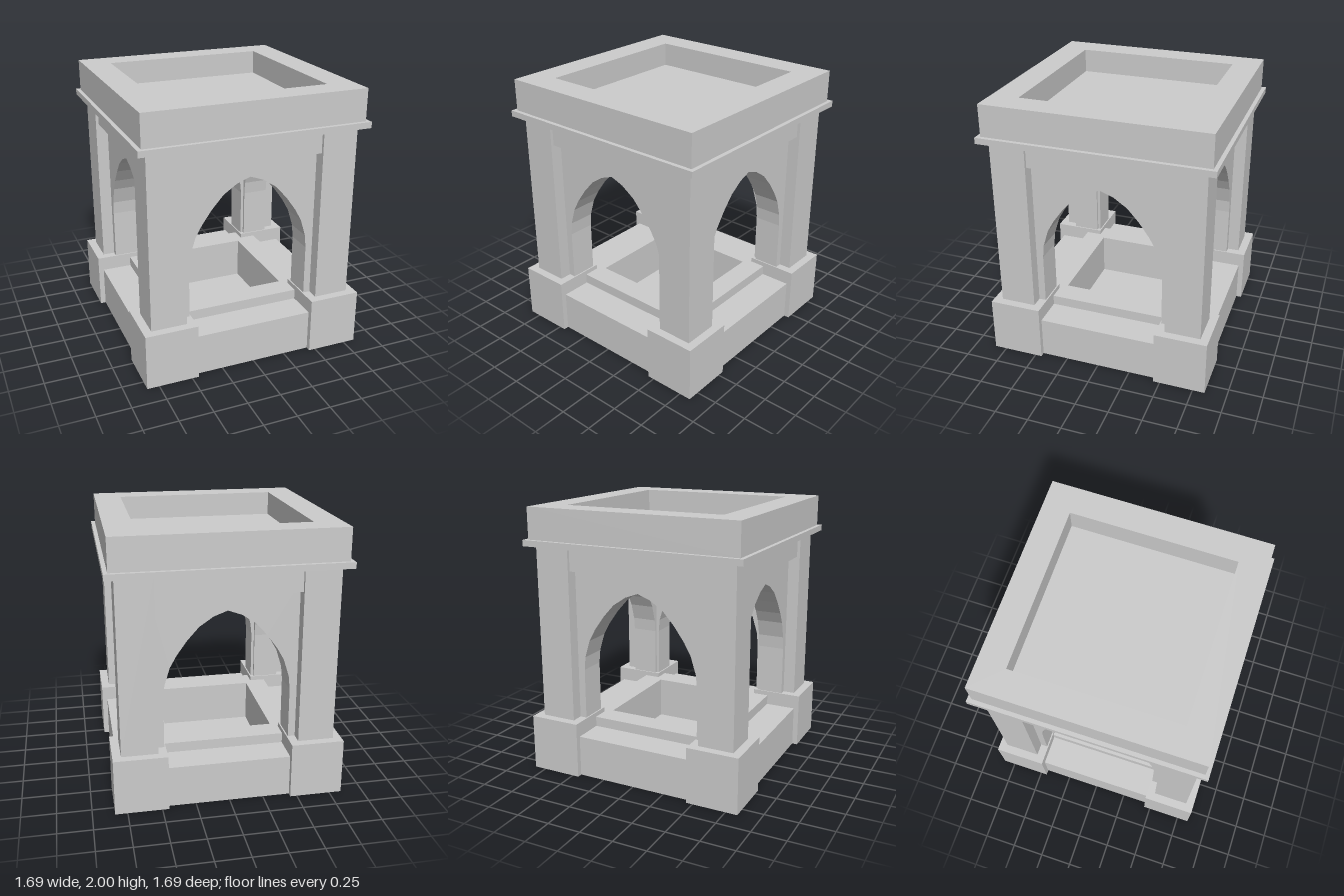
import * as THREE from 'three';

const material = new THREE.MeshStandardMaterial({ color: 0xcccccc, flatShading: true });

function add(parent, name, geometry, x = 0, y = 0, z = 0) {
  const mesh = new THREE.Mesh(geometry, material);
  mesh.name = name;
  mesh.position.set(x, y, z);
  parent.add(mesh);
  return mesh;
}

// Box given by its lower and upper limits on each axis
function box(parent, name, [x0, x1], [y0, y1], [z0, z1]) {
  return add(parent, name, new THREE.BoxGeometry(x1 - x0, y1 - y0, z1 - z0),
    (x0 + x1) / 2, (y0 + y1) / 2, (z0 + z1) / 2);
}

function squarePath(path, h) {
  path.moveTo(-h, -h);
  path.lineTo(h, -h);
  path.lineTo(h, h);
  path.lineTo(-h, h);
  path.closePath();
  return path;
}

// Square ring lying flat, from y0 to y1
function ring(parent, name, outer, inner, y0, y1) {
  const shape = squarePath(new THREE.Shape(), outer);
  shape.holes.push(squarePath(new THREE.Path(), inner));
  const geometry = new THREE.ExtrudeGeometry(shape, { depth: y1 - y0, bevelEnabled: false });
  geometry.rotateX(-Math.PI / 2);
  return add(parent, name, geometry, 0, y0, 0);
}

// Wall panel with a pointed arch cut up from its lower edge
function archPanelGeometry() {
  const half = [[0.46, 0.36], [0.46, 0.8], [0.45, 0.9], [0.41, 1.03], [0.36, 1.12],
    [0.285, 1.225], [0.2, 1.32], [0.1, 1.388]];
  const outline = [[-0.58, 0.36], [-0.46, 0.36],
    ...half.slice(1).map(([x, y]) => [-x, y]), [0, 1.425],
    ...half.slice().reverse(), [0.58, 0.36], [0.58, 1.72], [-0.58, 1.72]];
  const shape = new THREE.Shape(outline.map(([x, y]) => new THREE.Vector2(x, y)));
  return new THREE.ExtrudeGeometry(shape, { depth: 0.205, bevelEnabled: false });
}

export function createModel() {
  const model = new THREE.Group();
  model.name = 'archedPavilion';

  // Base: floor slab, plinth ring and raised inner kerb
  box(model, 'floor', [-0.79, 0.79], [0, 0.06], [-0.79, 0.79]);
  ring(model, 'plinth', 0.8, 0.4, 0, 0.31);
  ring(model, 'kerb', 0.57, 0.4, 0.31, 0.385);

  // Four corners, each a block with a square pillar
  for (const sx of [-1, 1]) {
    for (const sz of [-1, 1]) {
      const corner = new THREE.Group();
      corner.name = `${sz > 0 ? 'front' : 'back'}${sx > 0 ? 'Left' : 'Right'}Corner`;
      corner.position.set(sx * 0.645, 0, sz * 0.645);
      add(corner, 'cornerBlock', new THREE.BoxGeometry(0.39, 0.42, 0.39), 0, 0.21, 0);
      add(corner, 'pillar', new THREE.BoxGeometry(0.265, 1.3, 0.265), 0, 1.07, 0);
      model.add(corner);
    }
  }

  // Four sides, each an arched panel with a lintel beam
  const panel = archPanelGeometry();
  ['front', 'left', 'back', 'right'].forEach((label, i) => {
    const side = new THREE.Group();
    side.name = `${label}Side`;
    side.rotation.y = i * Math.PI / 2;
    add(side, 'archPanel', panel, 0, 0, 0.482);
    box(side, 'lintel', [-0.53, 0.53], [1.55, 1.72], [0.42, 0.755]);
    model.add(side);
  });

  // Roof: thin cornice, parapet and sunken deck
  box(model, 'cornice', [-0.845, 0.845], [1.72, 1.765], [-0.845, 0.845]);
  ring(model, 'parapet', 0.815, 0.61, 1.765, 2);
  box(model, 'roofDeck', [-0.62, 0.62], [1.765, 1.82], [-0.62, 0.62]);

  return model;
}
